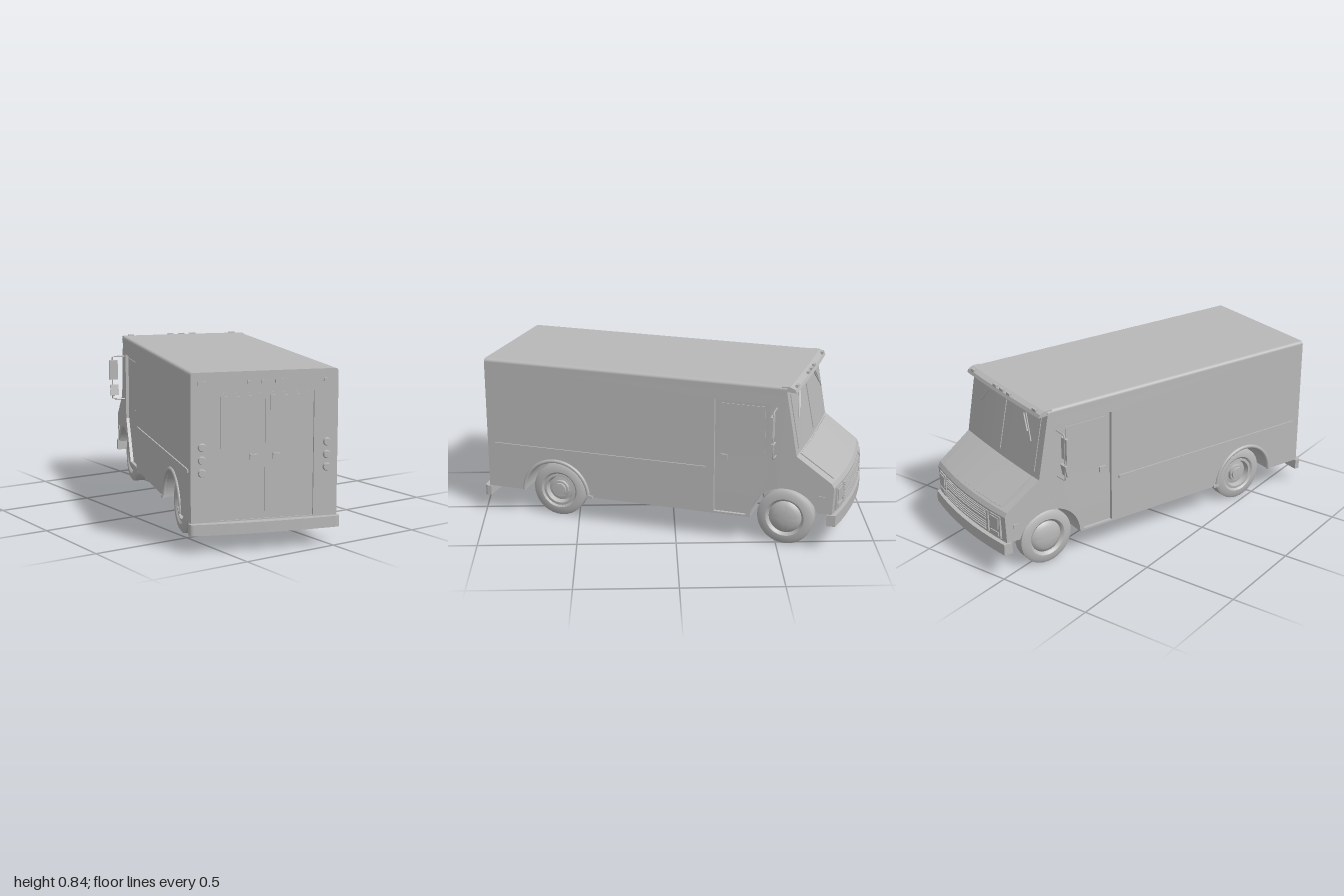
import * as THREE from 'three';
import { toCreasedNormals } from 'three/addons/utils/BufferGeometryUtils.js';

const grey = new THREE.MeshStandardMaterial({ color: 0xb8b8b8, side: THREE.DoubleSide });
grey.name = 'body grey';

const HALF = 0.355; // half width of the body
const V = (x, y, z) => new THREE.Vector3(x, y, z);

// The nose bulges forward in the middle and narrows slightly (front is -z)
function bow(geo) {
  const p = geo.attributes.position;
  for (let i = 0; i < p.count; i++) {
    const x = p.getX(i), z = p.getZ(i);
    const t = THREE.MathUtils.clamp((-z - 0.66) / 0.28, 0, 1);
    p.setX(i, x * (1 - 0.04 * t));
    p.setZ(i, z - 0.03 * t * (1 - (x / HALF) ** 2));
  }
  geo.computeVertexNormals();
  return geo;
}

export function createModel() {
  const root = new THREE.Group();
  root.name = 'stepVan';
  const van = new THREE.Group();
  van.name = 'van';
  van.rotation.y = -0.336;
  root.add(van);

  const add = (name, geo, parent = van) => {
    const m = new THREE.Mesh(geo, grey);
    m.name = name;
    parent.add(m);
    return m;
  };
  const box = (name, w, h, d, x, y, z, rx = 0) => {
    const g = new THREE.BoxGeometry(w, h, d, 8, 1, 1);
    g.rotateX(rx).translate(x, y, z);
    return add(name, bow(g));
  };
  const rod = (name, pts, r) => {
    const path = new THREE.CurvePath();
    for (let i = 1; i < pts.length; i++) path.add(new THREE.LineCurve3(pts[i - 1], pts[i]));
    return add(name, bow(new THREE.TubeGeometry(path, 8 * (pts.length - 1), r, 6)));
  };
  // Side outline (forward, up) drawn out across the width from x0 to x1
  const slab = (name, shape, x0, x1, steps = 4) => {
    const g = new THREE.ExtrudeGeometry(shape, { depth: x1 - x0, steps, bevelEnabled: false, curveSegments: 24 });
    g.rotateY(Math.PI / 2).translate(x0, 0, 0);
    return add(name, bow(g));
  };
  const poly = (pts) => new THREE.Shape(pts.map(([x, y]) => new THREE.Vector2(x, y)));

  // Side outline with or without the wheel arches
  const outline = (arches) => {
    const s = new THREE.Shape();
    s.moveTo(-0.9, 0.14);
    if (arches) {
      s.lineTo(-0.705, 0.14);
      s.absarc(-0.53, 0.14, 0.175, Math.PI, 0, true);
      s.lineTo(0.515, 0.14);
      s.absarc(0.69, 0.14, 0.175, Math.PI, 0.35, true);
    } else {
      s.lineTo(0.5, 0.14);
      s.lineTo(0.56, 0.31);
      s.lineTo(0.9, 0.31);
    }
    [[0.925, 0.2], [0.932, 0.34], [0.92, 0.362], [0.742, 0.49], [0.685, 0.82], [-0.9, 0.82]]
      .forEach(([x, y]) => s.lineTo(x, y));
    return s;
  };
  slab('bodyCore', outline(false), -0.2, 0.2, 12);

  // Roof with rounded edges, and the visor over the windscreen
  const r = 0.016;
  const roof = new THREE.Shape();
  roof.moveTo(-HALF, 0.8);
  roof.lineTo(HALF, 0.8);
  roof.absarc(HALF - r, 0.84 - r, r, 0, Math.PI / 2, false);
  roof.absarc(-HALF + r, 0.84 - r, r, Math.PI / 2, Math.PI, false);
  add('roof', new THREE.ExtrudeGeometry(roof, { depth: 1.595, bevelEnabled: false }).translate(0, 0, -0.685));
  slab('visor', poly([[0.66, 0.818], [0.715, 0.812], [0.732, 0.812], [0.725, 0.828], [0.7, 0.84], [0.66, 0.84]]),
    -0.352, 0.352, 16);

  // Rear wall with the double door set back in it
  const wall = poly([[-HALF, 0.14], [HALF, 0.14], [HALF, 0.81], [-HALF, 0.81]]);
  wall.holes.push(new THREE.Path([[-0.238, 0.145], [-0.238, 0.74], [0.238, 0.74], [0.238, 0.145]]
    .map(([x, y]) => new THREE.Vector2(x, y))));
  add('rearWall', new THREE.ExtrudeGeometry(wall, { depth: 0.02, bevelEnabled: false }).translate(0, 0, 0.89));
  for (const s of [-1, 1]) {
    box('rearDoor', 0.234, 0.594, 0.01, s * 0.119, 0.442, 0.9);
    box('rearDoorWindow', 0.19, 0.24, 0.004, s * 0.119, 0.605, 0.906);
    box('rearDoorHandle', 0.038, 0.03, 0.008, s * 0.056, 0.44, 0.908);
    box('rearDoorLever', 0.03, 0.007, 0.01, s * 0.056, 0.447, 0.913);
    for (const y of [0.375, 0.435, 0.495]) {
      const lamp = new THREE.CylinderGeometry(0.016, 0.02, 0.012, 20);
      add('rearLamp', toCreasedNormals(lamp.rotateX(Math.PI / 2).translate(s * 0.302, y, 0.915), 0.6));
    }
  }
  for (const x of [-0.302, -0.066, 0, 0.066, 0.302]) {
    box('rearMarker', 0.04, 0.017, 0.01, x, 0.79, 0.914);
    box('roofMarker', 0.032, 0.014, 0.012, x, 0.836, -0.722);
  }

  // Rear step bumper, gently curved
  const step = new THREE.Shape();
  step.moveTo(-0.365, -0.9);
  step.lineTo(0.365, -0.9);
  step.lineTo(0.365, -0.922);
  step.quadraticCurveTo(0.362, -0.935, 0.345, -0.937);
  step.quadraticCurveTo(0, -0.966, -0.345, -0.937);
  step.quadraticCurveTo(-0.362, -0.935, -0.365, -0.922);
  add('rearBumper', new THREE.ExtrudeGeometry(step, { depth: 0.053, bevelEnabled: false })
    .rotateX(-Math.PI / 2).translate(0, 0.087, 0));

  // Front bumper, grille and headlamps
  box('frontBumper', 0.725, 0.058, 0.045, 0, 0.17, -0.924);
  box('grillePanel', 0.44, 0.115, 0.008, 0, 0.272, -0.932);
  for (let i = 0; i < 8; i++) box('grilleBar', 0.41, 0.006, 0.01, 0, 0.226 + i * 0.0125 + (i > 3 ? 0.008 : 0), -0.936);
  for (const s of [-1, 1]) {
    box('headlampFrame', 0.085, 0.118, 0.01, s * 0.278, 0.272, -0.932);
    box('headlamp', 0.065, 0.06, 0.012, s * 0.278, 0.292, -0.936);
    box('indicator', 0.065, 0.022, 0.012, s * 0.278, 0.235, -0.936);
    box('windscreen', 0.3, 0.28, 0.006, s * 0.16, 0.655, -0.7145, 0.171);
    // Wiper hung from the top of the screen
    rod('wiperArm', [V(s * 0.17, 0.77, -0.705), V(s * 0.23, 0.7, -0.722)], 0.004);
    rod('wiperBlade', [V(s * 0.19, 0.78, -0.704), V(s * 0.27, 0.665, -0.728)], 0.003);
  }
  box('hood', 0.6, 0.006, 0.2, 0, 0.43, -0.829, -0.624);

  // Left and right sides: arch panels, outer skin, door, trim, mirror
  const doorPts = [[0.325, 0.15], [0.325, 0.745], [0.605, 0.745], [0.605, 0.38], [0.49, 0.15]];
  for (const s of [-1, 1]) {
    const side = (name, shape, a, b) => slab(name, shape, Math.min(s * a, s * b), Math.max(s * a, s * b));
    side('sideBody', outline(true), 0.2, 0.338);
    const skin = outline(true);
    skin.holes.push(new THREE.Path(doorPts.map(([x, y]) => new THREE.Vector2(x, y))));
    side('sideSkin', skin, 0.338, HALF);
    side('doorWindow', poly([[0.35, 0.49], [0.58, 0.49], [0.58, 0.725], [0.35, 0.725]]), 0.338, 0.342);
    side('doorHandle', poly([[0.355, 0.43], [0.39, 0.43], [0.39, 0.458], [0.355, 0.458]]), 0.338, 0.348);
    side('sideTrim', poly([[-0.866, 0.372], [0.283, 0.372], [0.283, 0.388], [-0.866, 0.388]]), 0.354, 0.362);
    side('fenderMarker', poly([[0.86, 0.27], [0.89, 0.27], [0.89, 0.292], [0.86, 0.292]]), 0.354, 0.36);

    // Rear arch flare
    const flare = new THREE.TorusGeometry(0.178, 0.01, 8, 32, Math.PI);
    add('rearArchFlare', flare.rotateY(Math.PI / 2).translate(s * HALF, 0.14, 0.53));
    box('flareFoot', 0.02, 0.014, 0.035, s * HALF, 0.143, 0.343);

    // Mirror bracket with a large and a small head
    rod('mirrorBracket', [V(s * 0.345, 0.73, -0.64), V(s * 0.425, 0.73, -0.64),
      V(s * 0.425, 0.49, -0.64), V(s * 0.345, 0.485, -0.64)], 0.004);
    box('mirror', 0.048, 0.11, 0.014, s * 0.42, 0.655, -0.634);
    box('smallMirror', 0.046, 0.06, 0.014, s * 0.415, 0.54, -0.634, -0.2);
  }

  // Wheels: domed cap in front, dished rim behind
  const tyre = [[0, -0.03], [0.08, -0.03], [0.095, -0.042], [0.128, -0.04], [0.143, -0.03],
    [0.143, 0.03], [0.128, 0.04], [0.098, 0.042], [0.088, 0.034]];
  const rims = {
    frontWheel: [[0.084, 0.026], [0.08, 0.032], [0.06, 0.042], [0.03, 0.047], [0, 0.048]],
    rearWheel: [[0.08, 0.036], [0.074, 0.036], [0.066, 0.01], [0.046, 0.014], [0.044, 0.028], [0.034, 0.028],
      [0.032, 0.036], [0, 0.038]],
  };
  for (const [name, z] of [['frontWheel', -0.683], ['rearWheel', 0.53]]) {
    const pts = [...tyre, ...rims[name]].map(([a, b]) => new THREE.Vector2(a, b));
    const geo = toCreasedNormals(new THREE.LatheGeometry(pts, 40).rotateZ(-Math.PI / 2), 0.6);
    for (const s of [-1, 1]) {
      const w = add(name, geo);
      w.position.set(s * 0.275, 0.143, z);
      if (s < 0) w.rotation.y = Math.PI;
    }
    const axle = new THREE.CylinderGeometry(0.014, 0.014, 0.5, 12);
    add('axle', axle.rotateZ(Math.PI / 2).translate(0, 0.143, z));
  }
  // Steering link
  rod('steeringLink', [V(-0.24, 0.13, -0.73), V(0.24, 0.15, -0.73)], 0.007);
  return root;
}
